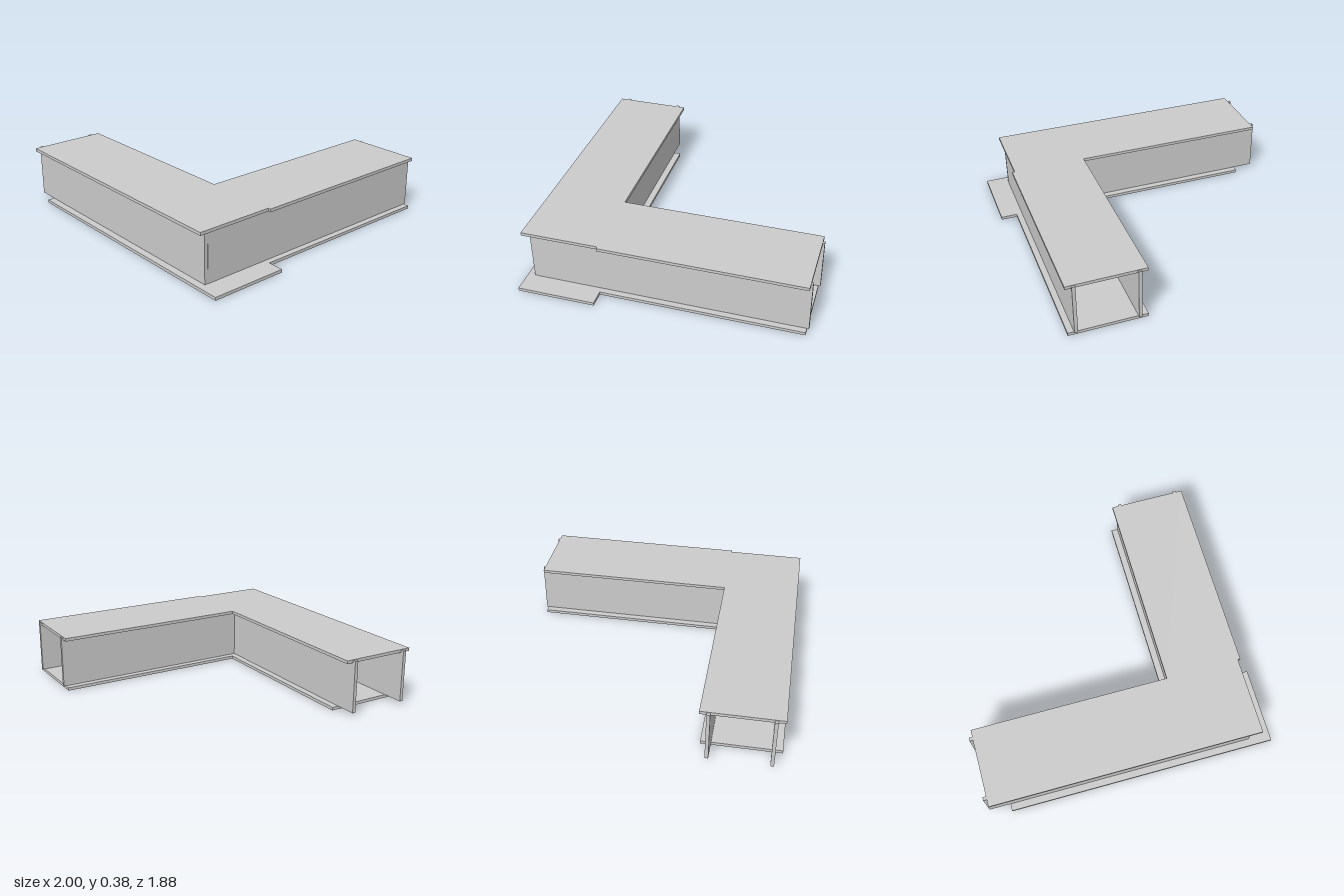
import * as THREE from 'three';

export function createModel() {
  const group = new THREE.Group();
  const material = new THREE.MeshStandardMaterial({ color: 0xcccccc });

  // Box given by its limits on each axis
  const plate = (name, [x0, x1], [y0, y1], [z0, z1]) => {
    const mesh = new THREE.Mesh(new THREE.BoxGeometry(x1 - x0, y1 - y0, z1 - z0), material);
    mesh.position.set((x0 + x1) / 2, (y0 + y1) / 2, (z0 + z1) / 2);
    mesh.name = name;
    group.add(mesh);
  };

  const bottom = [0, 0.021];
  const top = [0.357, 0.378];
  const web = [0.021, 0.373];

  // Flanges: the long arm runs along x, the side arm runs to the back
  plate('longArmTopFlange', [-0.977, 0.872], top, [0.417, 0.938]);
  plate('longArmBottomFlange', [-0.855, 1], bottom, [0.417, 0.938]);
  plate('sideArmTopFlange', [0.37, 0.89], top, [-0.927, 0.417]);
  plate('sideArmBottomFlange', [0.37, 0.89], bottom, [-0.927, 0.417]);

  // Upright webs, standing slightly proud of the flanges at the open ends
  plate('longArmOuterWeb', [-1, 0.848], web, [0.867, 0.89]);
  plate('longArmInnerWeb', [-1, 0.415], web, [0.463, 0.486]);
  plate('sideArmOuterWeb', [0.827, 0.85], web, [-0.94, 0.867]);
  plate('sideArmInnerWeb', [0.415, 0.437], web, [-0.94, 0.486]);

  return group;
}
